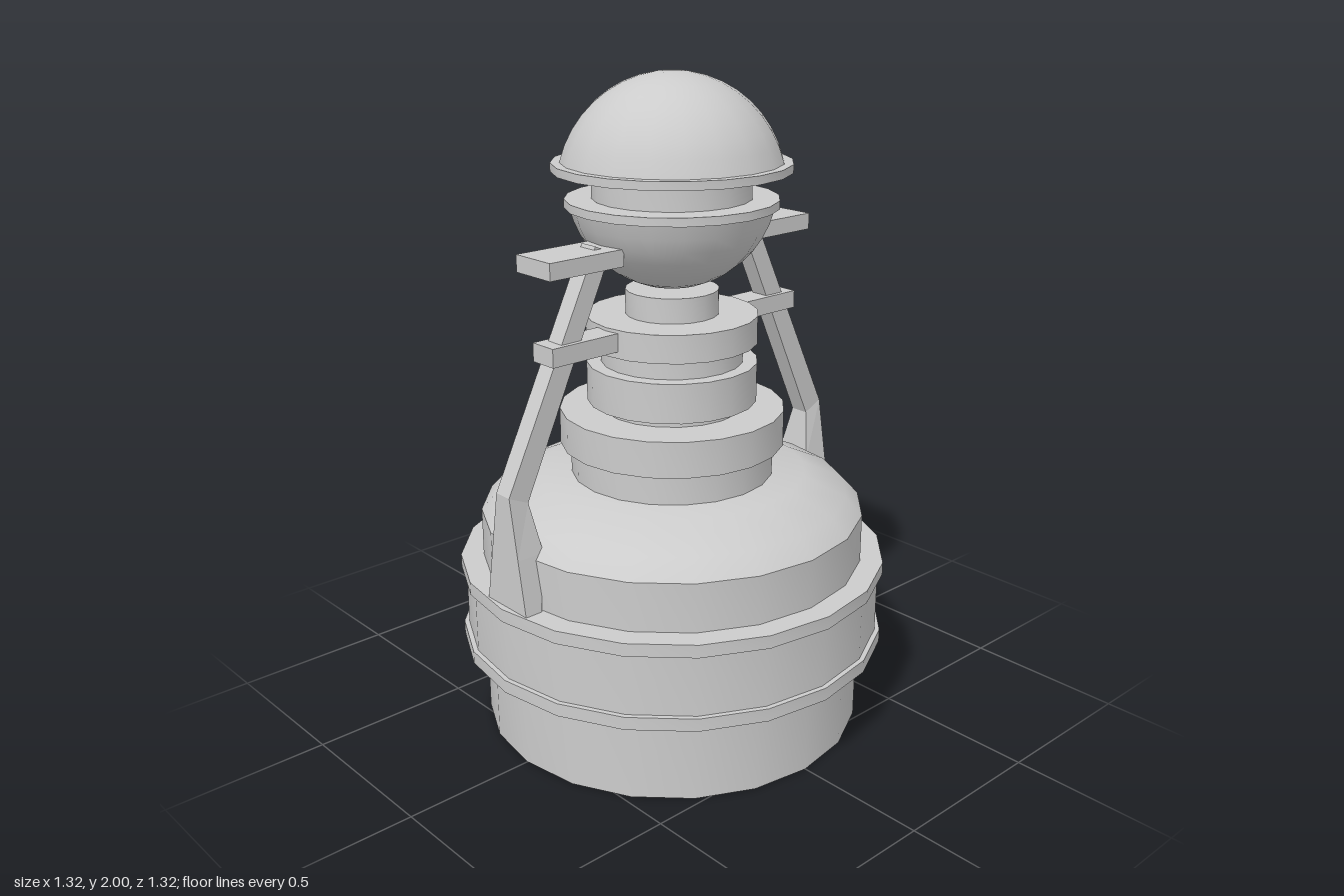
import * as THREE from 'three';
import { toCreasedNormals } from 'three/addons/utils/BufferGeometryUtils.js';

const material = new THREE.MeshStandardMaterial({ color: 0xcccccc });
const SIDES = 20;

function addMesh(parent, name, geometry) {
  const mesh = new THREE.Mesh(geometry, material);
  mesh.name = name;
  parent.add(mesh);
  return mesh;
}

// Turned part from [radius, y] points, listed from bottom to top
function turned(parent, name, profile) {
  const points = profile.map(([r, y]) => new THREE.Vector2(r, y));
  return addMesh(parent, name, toCreasedNormals(new THREE.LatheGeometry(points, SIDES), 0.6));
}

// Stacked discs from [radius, bottom, top] as one stepped profile
const steps = (discs) => discs.flatMap(([r, y0, y1]) => [[r, y0], [r, y1]]);

// Spherical cap between a rim and a pole, listed from rim to pole
function cap(rimRadius, rimY, poleY, rings = 9) {
  const h = Math.abs(poleY - rimY), dir = Math.sign(poleY - rimY);
  const R = (rimRadius ** 2 + h ** 2) / (2 * h);
  const spread = Math.acos((R - h) / R);
  return Array.from({ length: rings + 1 }, (_, i) => {
    const a = spread * (1 - i / rings);
    return [i === rings ? 0 : R * Math.sin(a), poleY - dir * R * (1 - Math.cos(a))];
  });
}

// Four-sided loft; each row is [outer z, outer y, inner z, inner y, half width]
function loft(rows) {
  const rings = rows.map(([zo, yo, zi, yi, w]) => [[-w, yo, zo], [w, yo, zo], [w, yi, zi], [-w, yi, zi]]);
  const positions = [];
  const quad = (a, b, c, d) => positions.push(...a, ...b, ...c, ...a, ...c, ...d);
  for (let i = 0; i < rings.length - 1; i++) {
    for (let k = 0; k < 4; k++) {
      const n = (k + 1) % 4;
      quad(rings[i][k], rings[i][n], rings[i + 1][n], rings[i + 1][k]);
    }
  }
  quad(...rings[rings.length - 1]);
  quad(...[...rings[0]].reverse());
  const geometry = new THREE.BufferGeometry();
  geometry.setAttribute('position', new THREE.Float32BufferAttribute(positions, 3));
  geometry.computeVertexNormals();
  return geometry;
}

// Box spanning y0..y1 and z0..z1, centred on x
function slab(parent, name, width, y0, y1, z0, z1) {
  const mesh = addMesh(parent, name, new THREE.BoxGeometry(width, y1 - y0, z1 - z0));
  mesh.position.set(0, (y0 + y1) / 2, (z0 + z1) / 2);
}

function createArm(name) {
  const arm = new THREE.Group();
  arm.name = name;
  // Flared foot, upright and inclined strut
  addMesh(arm, 'strut', loft([
    [0.64, 0.535, 0.585, 0.535, 0.09],
    [0.64, 0.7, 0.55, 0.7, 0.061],
    [0.64, 0.88, 0.575, 0.85, 0.03],
    [0.315, 1.545, 0.262, 1.52, 0.03],
  ]));
  slab(arm, 'clamp', 0.09, 1.23, 1.285, 0.24, 0.485);
  slab(arm, 'platform', 0.15, 1.485, 1.535, 0.25, 0.51);
  return arm;
}

export function createModel() {
  const model = new THREE.Group();
  model.name = 'domedTower';

  // Drum with flanged band and sloping shoulder
  turned(model, 'base', [
    [0, 0],
    ...steps([
      [0.59, 0, 0.265],
      [0.66, 0.265, 0.305],
      [0.645, 0.305, 0.495],
      [0.66, 0.495, 0.535],
      [0.59, 0.535, 0.685],
    ]),
    [0.54, 0.74], [0.41, 0.8], [0, 0.8],
  ]);

  // Stepped column
  turned(model, 'column', [
    [0, 0.8],
    ...steps([
      [0.31, 0.8, 0.895],
      [0.342, 0.895, 1.005],
      [0.215, 1.005, 1.03],
      [0.258, 1.03, 1.15],
      [0.215, 1.15, 1.21],
      [0.258, 1.21, 1.295],
      [0.14, 1.295, 1.37],
    ]),
    [0, 1.37],
  ]);

  // Split sphere: bowl, rims, neck and dome
  const head = new THREE.Group();
  head.name = 'head';
  model.add(head);
  turned(head, 'bowl', cap(0.3, 1.615, 1.375).reverse());
  turned(head, 'rimsAndNeck', [
    [0, 1.615],
    ...steps([[0.315, 1.615, 1.64], [0.235, 1.64, 1.72], [0.352, 1.72, 1.745]]),
    [0, 1.745],
  ]);
  turned(head, 'dome', cap(0.325, 1.745, 2));

  // Front and back support arms
  const backArm = createArm('backArm');
  backArm.rotation.y = Math.PI;
  model.add(createArm('frontArm'), backArm);
  return model;
}
